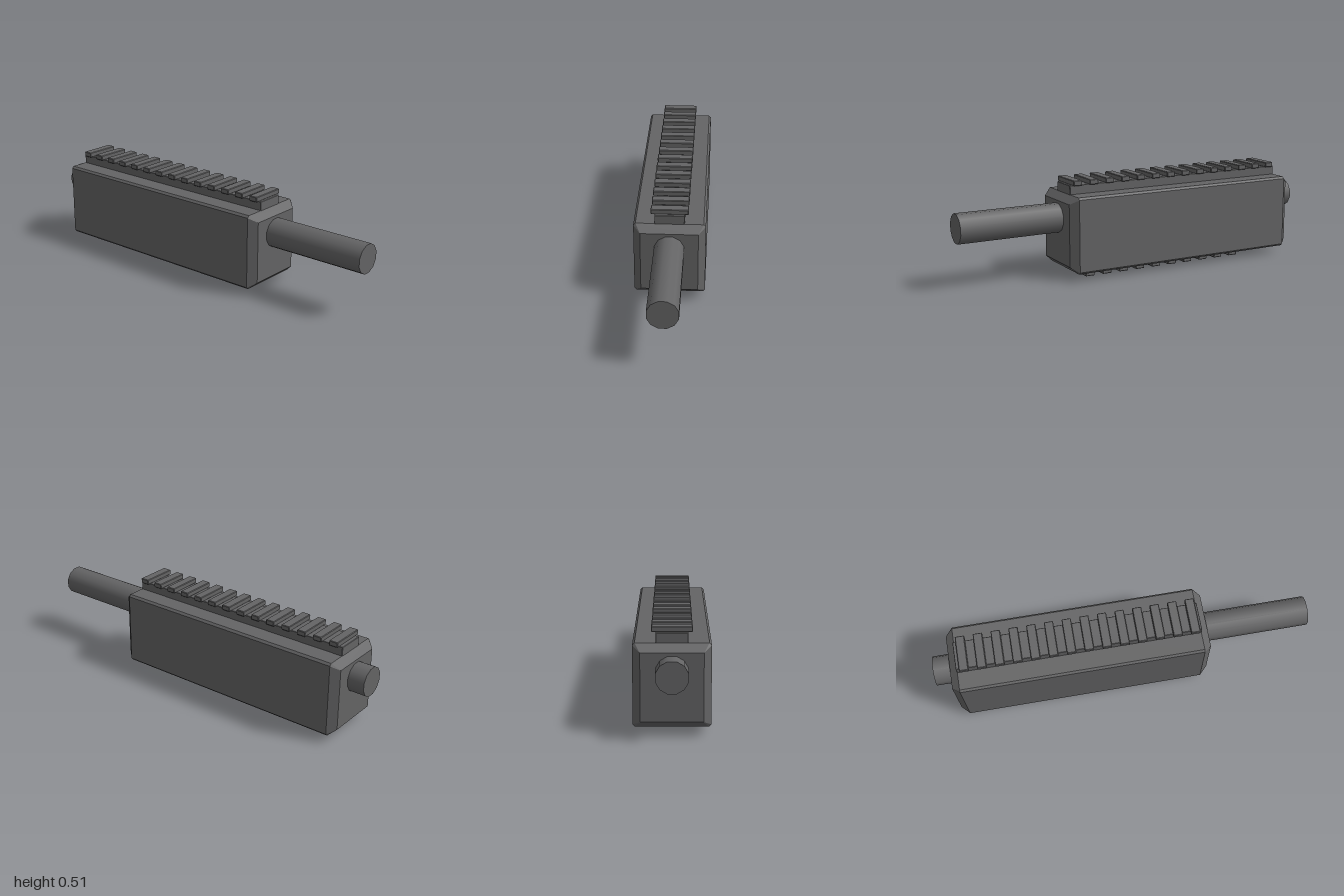
import * as THREE from 'three';
import { ConvexGeometry } from 'three/addons/geometries/ConvexGeometry.js';

// Box with cut long edges (cut) and tapered ends (taper long, inset deep)
function bevelBox(w, h, d, cut, taper, inset) {
  const x = w / 2, y = h / 2, z = d / 2, points = [];
  for (const sx of [-1, 1]) for (const sy of [-1, 1]) for (const sz of [-1, 1]) {
    points.push(
      new THREE.Vector3(sx * (x - taper), sy * y, sz * (z - cut)),
      new THREE.Vector3(sx * (x - taper), sy * (y - cut), sz * z),
      new THREE.Vector3(sx * x, sy * (y - inset), sz * (z - inset))
    );
  }
  return new ConvexGeometry(points);
}

export function createModel() {
  const group = new THREE.Group();
  const gunmetal = new THREE.MeshStandardMaterial({ color: 0x646465 });
  gunmetal.name = 'gunmetal';

  const add = (name, geometry, x, y, parent = group) => {
    const mesh = new THREE.Mesh(geometry, gunmetal);
    mesh.name = name;
    mesh.position.set(x, y, 0);
    parent.add(mesh);
    return mesh;
  };

  // Main housing
  add('housing', bevelBox(1.36, 0.398, 0.362, 0.011, 0.04, 0.036), -0.23, 0.238);

  // Barrel running through the housing, twelve sides with a flat on top
  const barrel = new THREE.CylinderGeometry(0.0776, 0.0776, 2, 12);
  barrel.rotateY(Math.PI / 12).rotateZ(-Math.PI / 2);
  add('barrel', barrel, 0, 0.31);

  // Toothed rail: a narrow base carrying evenly spaced wider teeth
  const addRail = (name, { x0, x1, baseY, baseH, toothY, toothH, toothW, count, first, step }) => {
    const rail = new THREE.Group();
    rail.name = name;
    group.add(rail);
    add(name + 'Base', bevelBox(x1 - x0, baseH, 0.15, 0.002, 0.002, 0.002), (x0 + x1) / 2, baseY, rail);
    const tooth = bevelBox(toothW, toothH, 0.189, 0.003, 0.003, 0.003);
    for (let i = 0; i < count; i++) add(name + 'Tooth', tooth, first + i * step, toothY, rail);
  };

  addRail('topRail', {
    x0: -0.871, x1: 0.411, baseY: 0.459, baseH: 0.05,
    toothY: 0.496, toothH: 0.027, toothW: 0.048, count: 14, first: -0.829, step: 0.0925
  });
  addRail('bottomRail', {
    x0: -0.635, x1: 0.36, baseY: 0.036, baseH: 0.018,
    toothY: 0.014, toothH: 0.028, toothW: 0.052, count: 10, first: -0.59, step: 0.0998
  });

  return group;
}
